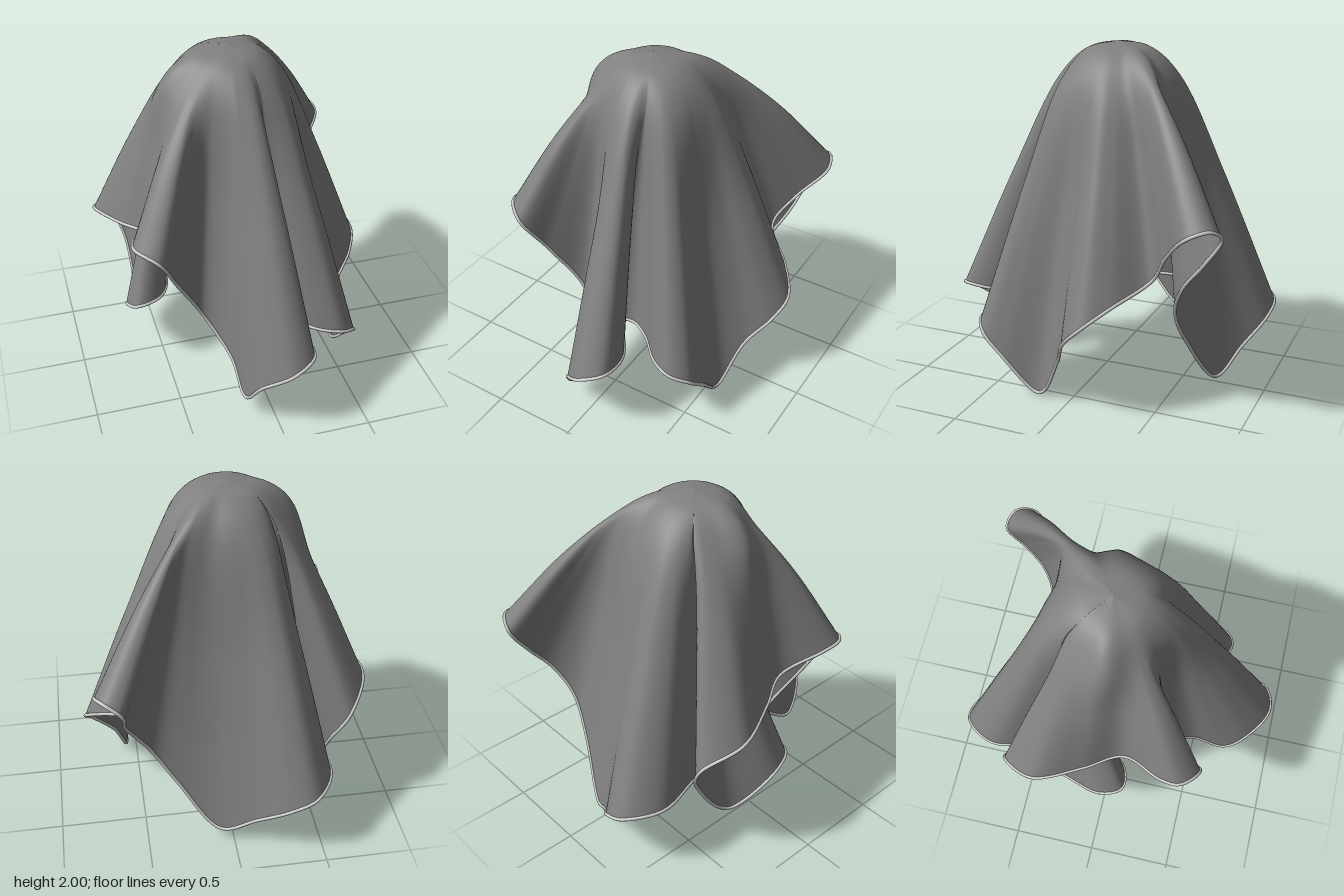
import * as THREE from 'three';

const COLS = 440, ROWS = 44;
const CENTRE = new THREE.Vector3(-0.05, 2, -0.055);

// Hem of the square sheet, counter-clockwise from above; corners hang low, edge middles ride high.
const HEM = [
  // front corner and front fold, with a deep valley tucked behind it
  [-0.16, 0.12, 0.71], [-0.1, 0.28, 0.84], [0.06, 0.42, 0.94], [0.19, 0.47, 0.88],
  [0.2, 0.46, 0.72], [0.09, 0.43, 0.53], [-0.05, 0.42, 0.41], [0.04, 0.41, 0.36], [0.18, 0.41, 0.43],
  // front side fold and side corner
  [0.33, 0.4, 0.57], [0.46, 0.39, 0.62], [0.56, 0.34, 0.56], [0.58, 0.22, 0.43], [0.56, 0.015, 0.2],
  // side fold
  [0.64, 0.27, 0.04], [0.77, 0.46, -0.06], [0.81, 0.57, -0.17], [0.71, 0.68, -0.31],
  // narrow raised fold, pinched at its neck
  [0.53, 0.8, -0.48], [0.62, 0.98, -0.59], [0.75, 1.14, -0.74], [0.71, 1.18, -0.85], [0.62, 1.12, -0.89],
  [0.6, 0.96, -0.79], [0.55, 0.79, -0.66], [0.45, 0.6, -0.59],
  // back corner and broad back fold
  [0.31, 0.37, -0.62], [0.08, 0.08, -0.73], [-0.12, 0.2, -0.82], [-0.3, 0.35, -0.93], [-0.44, 0.42, -0.93],
  [-0.56, 0.45, -0.74], [-0.49, 0.46, -0.43], [-0.44, 0.47, -0.08],
  // tucked fold and its corner
  [-0.52, 0.47, 0.1], [-0.66, 0.45, 0.13], [-0.71, 0.39, 0], [-0.61, 0.2, -0.27],
  // overlapping fold
  [-0.61, 0.52, -0.53], [-0.7, 0.74, -0.59], [-0.81, 0.87, -0.38], [-0.7, 0.92, -0.1], [-0.59, 0.97, 0.12],
  // raised fold beside the front corner
  [-0.7, 1.08, 0.36], [-0.71, 1.1, 0.47], [-0.6, 1.05, 0.57], [-0.48, 0.8, 0.45], [-0.31, 0.47, 0.34],
  [-0.18, 0.24, 0.5],
];

// Angles of the hem round the centre, made steadily increasing so folds fan out of the crown:
// overlaps gather at their far end in the first half of the hem, at their near end in the second
function crownAngles(hem) {
  const TAU = Math.PI * 2;
  let angles = [];
  hem.forEach((p, i) => {
    let a = Math.atan2(p.x - CENTRE.x, p.z - CENTRE.z);
    if (i) a += TAU * Math.round((angles[i - 1] - a) / TAU);
    angles.push(a);
  });
  const half = COLS / 2;
  for (let i = 1; i < half; i++) angles[i] = Math.max(angles[i], angles[i - 1]);
  for (let i = COLS - 2; i >= half; i--) angles[i] = Math.min(angles[i], angles[i + 1]);
  for (let pass = 0; pass < 2; pass++) {
    const src = angles, reach = 12;
    angles = src.map((_, i) => {
      let sum = 0;
      for (let k = i - reach; k <= i + reach; k++) {
        sum += src[(k + COLS) % COLS] + TAU * Math.floor(k / COLS);
      }
      return sum / (2 * reach + 1);
    });
  }
  return angles;
}

// Smooth swelling of the crown around one direction, in degrees
function swell(angle, middle, width) {
  const d = (THREE.MathUtils.radToDeg(angle) - middle) / width;
  return Math.exp(-d * d);
}

// Sheet: every column runs from the apex over the crown and falls to the hem
function sheetGeometry(hem) {
  const angles = crownAngles(hem);
  const positions = [], index = [];
  const crown = (a, r, y) => new THREE.Vector3(CENTRE.x + Math.sin(a) * r, y, CENTRE.z + Math.cos(a) * r);
  hem.forEach((end, j) => {
    const a = angles[j];
    const reach = Math.hypot(end.x - CENTRE.x, end.z - CENTRE.z);
    // The two raised folds lift the crown where they leave it
    const lift = swell(a, 137, 14) + 0.75 * swell(a, 276, 17);
    const shoulder = crown(a, 0.27 + 0.09 * reach + 0.075 * lift, 1.79 + 0.045 * lift);
    const middle = shoulder.clone().lerp(end, 0.45);
    middle.y += 0.04;
    const fall = new THREE.CatmullRomCurve3([CENTRE, crown(a, 0.19 + 0.06 * lift, 1.955), shoulder, middle, end]);
    for (let i = 0; i <= ROWS; i++) positions.push(...fall.getPoint(i / ROWS).toArray());
  });
  for (let j = 0; j < COLS; j++) {
    const here = j * (ROWS + 1), next = ((j + 1) % COLS) * (ROWS + 1);
    for (let i = 0; i < ROWS; i++) {
      if (i) index.push(here + i, here + i + 1, next + i);
      index.push(next + i, here + i + 1, next + i + 1);
    }
  }
  const geometry = new THREE.BufferGeometry();
  geometry.setAttribute('position', new THREE.Float32BufferAttribute(positions, 3));
  geometry.setIndex(index);
  geometry.computeVertexNormals();
  return geometry;
}

export function createModel() {
  const model = new THREE.Group();
  model.name = 'drapedCloth';

  const hemCurve = new THREE.CatmullRomCurve3(HEM.map((p) => new THREE.Vector3(...p)), true);
  const hemPoints = hemCurve.getSpacedPoints(COLS).slice(0, COLS);

  const sheet = new THREE.Mesh(
    sheetGeometry(hemPoints),
    new THREE.MeshStandardMaterial({ color: 0x808080, side: THREE.DoubleSide }),
  );
  sheet.name = 'sheet';

  // Rolled edge along the hem
  const edge = new THREE.Mesh(
    new THREE.TubeGeometry(hemCurve, COLS, 0.01, 8, true),
    new THREE.MeshStandardMaterial({ color: 0xcccccc }),
  );
  edge.name = 'hemEdge';

  model.add(sheet, edge);
  return model;
}
